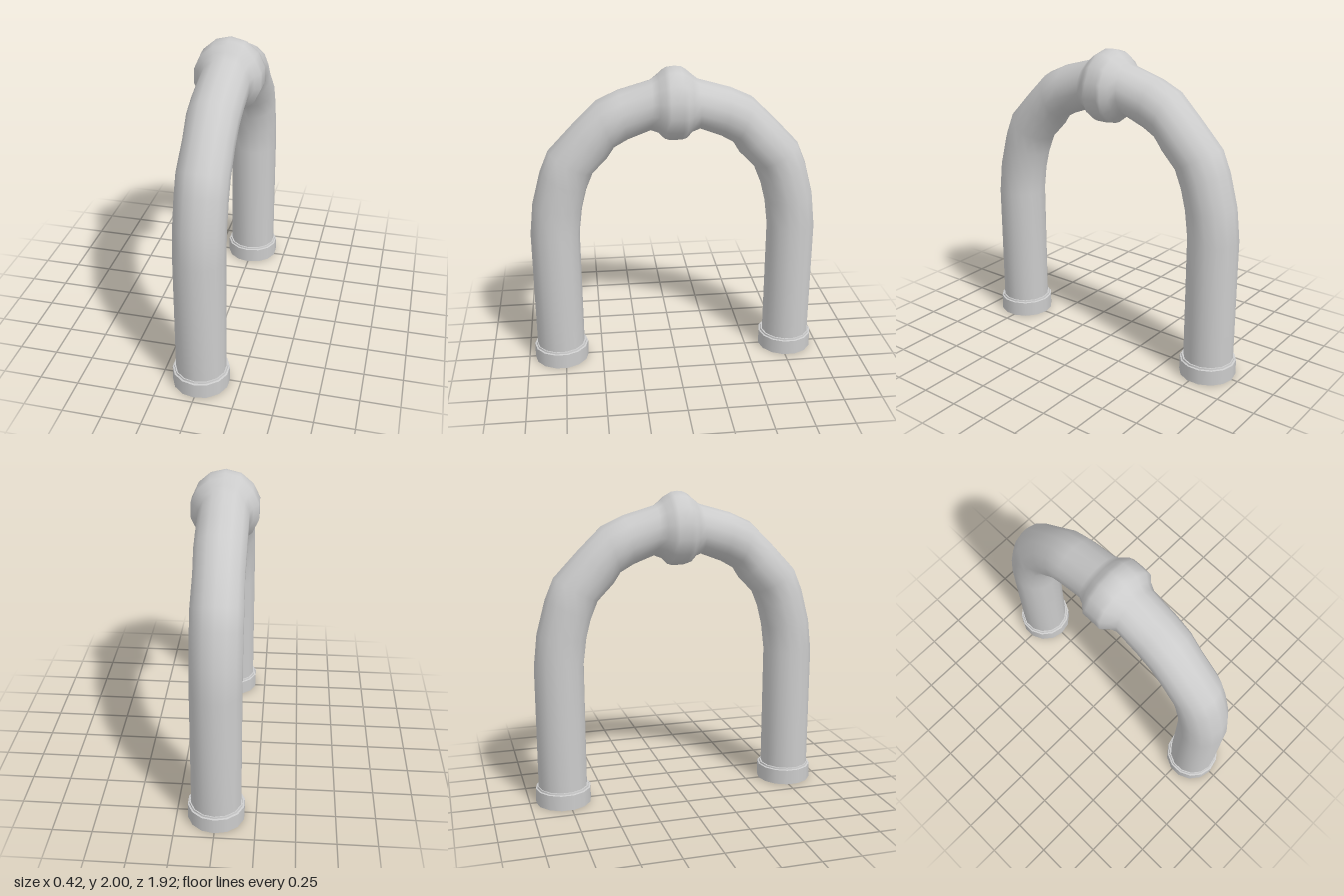
import * as THREE from 'three';

const SIDES = 14;

// Skin through oval rings along an arch in the zy plane
function sweep(stations) {
  const pos = [], idx = [];
  for (const [z, y, ry, deg, rx = ry] of stations) {
    const t = THREE.MathUtils.degToRad(deg);
    for (let j = 0; j < SIDES; j++) {
      const a = (j / SIDES) * Math.PI * 2;
      const n = Math.cos(a) * ry;
      pos.push(Math.sin(a) * rx, y + Math.sin(t) * n, z + Math.cos(t) * n);
    }
  }
  for (let i = 0; i < stations.length - 1; i++) {
    for (let j = 0; j < SIDES; j++) {
      const k = (j + 1) % SIDES;
      const a = i * SIDES + j, b = i * SIDES + k;
      idx.push(a, b, a + SIDES, b, b + SIDES, a + SIDES);
    }
  }
  const g = new THREE.BufferGeometry();
  g.setAttribute('position', new THREE.Float32BufferAttribute(pos, 3));
  g.setIndex(idx);
  g.computeVertexNormals();
  return g;
}

export function createModel() {
  const group = new THREE.Group();
  group.name = 'archedPipe';
  const mat = new THREE.MeshStandardMaterial({ color: 0xcccccc });

  // Half of the arch: z, y, radius, ring tilt in degrees, optional side radius
  const half = [
    [0.78, 0.05, 0.159, 0],
    [0.78, 0.92, 0.159, 0],
    [0.757, 1.11, 0.159, 8],
    [0.712, 1.28, 0.159, 25],
    [0.66, 1.405, 0.159, 29],
    [0.53, 1.54, 0.155, 45],
    [0.435, 1.645, 0.159, 70],
    [0.325, 1.7, 0.159, 80],
    [0.15, 1.757, 0.159, 92],
    // swelling of the crown collar
    [0.105, 1.763, 0.184, 90, 0.18],
    [0.068, 1.76, 0.219, 90, 0.215],
    [0.04, 1.763, 0.232, 90, 0.215],
  ];
  const crown = [0, 1.765, 0.235, 90, 0.215];
  const mirrored = half.map(([z, y, r, d, rx]) => [-z, y, r, 180 - d, rx]).reverse();
  const pipe = new THREE.Mesh(sweep([...half, crown, ...mirrored]), mat);
  pipe.name = 'pipeWithCollar';
  group.add(pipe);

  // Foot rings: short closed drums with a small lip; doubled points keep edges sharp
  const profile = [
    [0, 0], [0.181, 0], [0.181, 0], [0.181, 0.1], [0.181, 0.1],
    [0.17, 0.103], [0.17, 0.103], [0.168, 0.113], [0.168, 0.113], [0.15, 0.113],
  ].map(([r, y]) => new THREE.Vector2(r, y));
  for (const s of [1, -1]) {
    const parts = new THREE.Group();
    parts.name = s > 0 ? 'frontFoot' : 'backFoot';
    for (let i = 0; i < profile.length - 1; i++) {
      if (profile[i].equals(profile[i + 1])) continue;
      const band = new THREE.Mesh(new THREE.LatheGeometry([profile[i], profile[i + 1]], SIDES), mat);
      band.name = 'footBand';
      parts.add(band);
    }
    parts.position.z = s * 0.778;
    group.add(parts);
  }
  return group;
}
